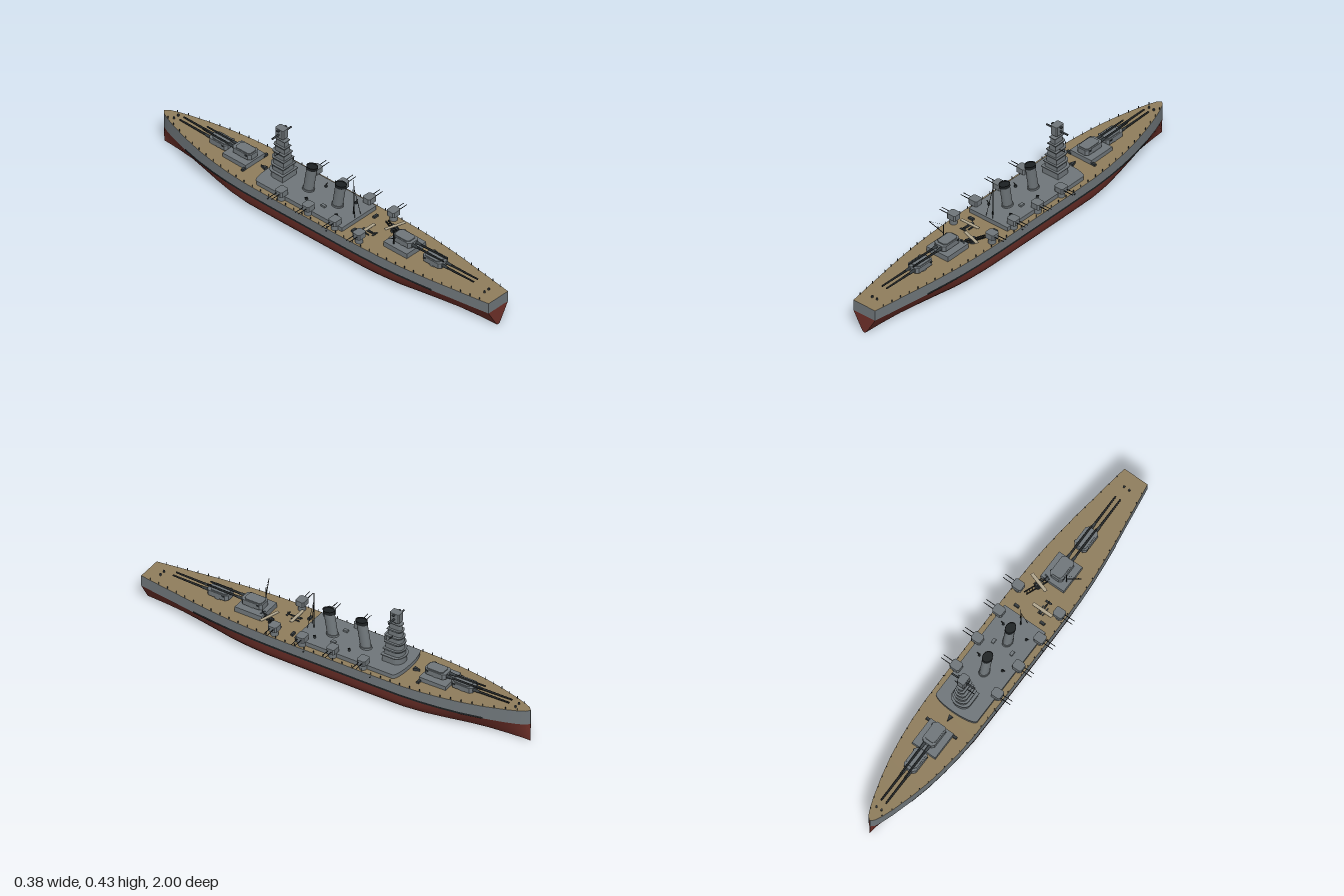
import * as THREE from 'three';
import { mergeGeometries, toCreasedNormals } from 'three/addons/utils/BufferGeometryUtils.js';

const mat = (color) => new THREE.MeshStandardMaterial({ color, side: THREE.DoubleSide });
const GREY = mat(0x6f767a), DARK = mat(0x1c2022), RED = mat(0x6e3029), WOOD = mat(0x8f7d5c), STEEL = mat(0x33393c), CANVAS = mat(0xb0a58c);

// Hull stations along z: [z, deck half-beam, fullness of the bottom]
const STATIONS = [[-1, 0.002, 0], [-0.985, 0.018, 0], [-0.95, 0.034, 0], [-0.9, 0.052, 0.05], [-0.8, 0.081, 0.2],
  [-0.7, 0.104, 0.45], [-0.6, 0.12, 0.7], [-0.5, 0.131, 0.9], [-0.4, 0.137, 1], [-0.2, 0.139, 1], [0, 0.139, 1],
  [0.2, 0.139, 1], [0.3, 0.138, 1], [0.4, 0.135, 0.95], [0.5, 0.129, 0.85], [0.6, 0.119, 0.65], [0.7, 0.107, 0.45],
  [0.8, 0.092, 0.25], [0.9, 0.078, 0.1], [1, 0.063, 0]];
const FULL = [[0, 0.002], [0.68, 0.01], [0.8, 0.018], [0.9, 0.034], [0.97, 0.06], [1, 0.092]];
const FINE = [[0, 0], [0.14, 0.003], [0.24, 0.012], [0.45, 0.034], [0.72, 0.062], [1, 0.092]];
const deckY = (z) => 0.146 + (z < -0.3 ? 0.02 * ((-0.3 - z) / 0.7) ** 1.5 : 0);
const lerp = THREE.MathUtils.lerp;
function beam(z) {
  const i = Math.max(1, STATIONS.findIndex((s) => s[0] >= z));
  const [a, b] = [STATIONS[i - 1], STATIONS[i]];
  return lerp(a[1], b[1], (z - a[0]) / (b[0] - a[0]));
}

// Surface through rows of points
function loft(rows) {
  const n = rows[0].length, index = [];
  for (let j = 0; j < rows.length - 1; j++) for (let i = 0; i < n - 1; i++) {
    const a = j * n + i, b = a + n;
    index.push(a, a + 1, b, a + 1, b + 1, b);
  }
  const g = new THREE.BufferGeometry();
  g.setAttribute('position', new THREE.Float32BufferAttribute(rows.flat(2), 3));
  g.setIndex(index);
  return toCreasedNormals(g, 0.5);
}

// Upright prism from a plan of [x, z] points
function prismGeo(plan, y0, y1) {
  const shape = new THREE.Shape(plan.map(([x, z]) => new THREE.Vector2(x, -z)));
  return new THREE.ExtrudeGeometry(shape, { depth: y1 - y0, bevelEnabled: false }).rotateX(-Math.PI / 2).translate(0, y0, 0);
}
const chamfered = (w, z0, z1, c) => [[-w + c, z0], [w - c, z0], [w, z0 + c], [w, z1 - c], [w - c, z1], [-w + c, z1], [-w, z1 - c], [-w, z0 + c]];
// Plan with a rounded forward end
function rounded(w, zFront, zBack, depth) {
  const p = [[-w, zBack], [w, zBack]];
  for (let i = 0; i <= 12; i++) {
    const a = (i / 12) * Math.PI;
    p.push([w * Math.cos(a), zFront + depth - depth * Math.sin(a)]);
  }
  return p;
}
const boxGeo = (w, h, d, x, y, z) => new THREE.BoxGeometry(w, h, d).translate(x, y, z);
function rodGeo(a, b, r0, r1 = r0, sides = 8) {
  const A = new THREE.Vector3(...a), B = new THREE.Vector3(...b), d = B.clone().sub(A);
  const q = new THREE.Quaternion().setFromUnitVectors(new THREE.Vector3(0, 1, 0), d.clone().normalize());
  return new THREE.CylinderGeometry(r1, r0, d.length(), sides).applyQuaternion(q).translate(...A.add(B).multiplyScalar(0.5).toArray());
}

export function createModel() {
  const ship = new THREE.Group();
  ship.name = 'battleship';
  const add = (name, geo, material = GREY, parent = ship) => {
    const list = [].concat(geo).map((g) => (g.index ? g.toNonIndexed() : g));
    const m = new THREE.Mesh(list.length > 1 ? mergeGeometries(list) : list[0], material);
    m.name = name;
    parent.add(m);
    return m;
  };
  const group = (name, parent = ship) => {
    const g = new THREE.Group();
    g.name = name;
    parent.add(g);
    return g;
  };

  // Hull: red bottom, grey sides, wooden deck, transom
  const half = ([z, b, f]) => FULL.map((p, i) => [b * lerp(FINE[i][0], p[0], f), lerp(FINE[i][1], p[1], f), z]);
  const bottomRows = STATIONS.map((s) => {
    const h = half(s);
    return [...h.slice(1).reverse().map(([x, y, z]) => [-x, y, z]), ...h];
  });
  add('lowerHull', loft(bottomRows), RED);
  const side = (s, lo, hi, grow, from = -1, to = 1) => loft(STATIONS.filter(([z]) => z >= from && z <= to).map(([z, b]) => {
    const row = [[s * (b + grow), lo, z], [s * (b + grow), hi ?? deckY(z), z]];
    return s > 0 ? row : row.reverse();
  }));
  add('hullSides', [side(1, 0.092, null, 0), side(-1, 0.092, null, 0)]);
  add('waterlineStripe', [side(1, 0.09, 0.1, 0.001, -0.8, 0.7), side(-1, 0.09, 0.1, 0.001, -0.8, 0.7)], DARK);
  add('deck', loft(STATIONS.map(([z, b]) => [[b, deckY(z), z], [-b, deckY(z), z]])), WOOD);
  const stern = STATIONS[STATIONS.length - 1], sternShape = new THREE.Shape(bottomRows[bottomRows.length - 1].map(([x, y]) => new THREE.Vector2(x, y)));
  add('lowerTransom', new THREE.ShapeGeometry(sternShape).translate(0, 0, 1), RED);
  add('upperTransom', new THREE.PlaneGeometry(2 * stern[1], 0.054).translate(0, 0.119, 1));

  // Deck edge posts and side booms
  const posts = [], fittings = [];
  for (let z = -0.95; z < 0.99; z += 0.05) for (const s of [-1, 1])
    posts.push(boxGeo(0.0025, 0.012, 0.0025, s * (beam(z) - 0.003), deckY(z) + 0.006, z));
  add('railPosts', posts, STEEL);
  for (const s of [-1, 1]) {
    for (const z of [-0.25, 0.1]) fittings.push(rodGeo([s * 0.137, 0.136, z], [s * 0.146, 0.136, z], 0.002));
    for (const z of [-0.93, 0.93]) fittings.push(rodGeo([s * 0.014, deckY(z), z], [s * 0.014, deckY(z) + 0.009, z], 0.005));
    for (const z of [-0.46, 0.2]) fittings.push(boxGeo(0.025, 0.01, 0.012, s * 0.07, deckY(z) + 0.005, z));
  }
  add('deckFittings', fittings, STEEL);
  add('breakwater', prismGeo([[0, -0.42], [0.01, -0.39], [-0.01, -0.39]], 0.146, 0.16), STEEL);

  // Main battery: a low and a raised twin turret at each end
  function mainTurret(name, z, dir, base, gunLength) {
    const t = group(name);
    t.position.set(0, base, z);
    t.rotation.y = dir < 0 ? Math.PI : 0;
    add('barbette', rodGeo([0, -0.01, 0], [0, 0.006, 0], 0.03, 0.03, 20), GREY, t);
    add('gunhouse', prismGeo(chamfered(0.033, -0.055, 0.055, 0.012), 0.005, 0.031), GREY, t);
    add('roof', prismGeo(chamfered(0.027, -0.048, 0.04, 0.01), 0.031, 0.036), GREY, t);
    add('rangefinder', boxGeo(0.074, 0.007, 0.01, 0, 0.027, -0.035), STEEL, t);
    for (const s of [-1, 1]) {
      add('gunSleeve', rodGeo([s * 0.013, 0.018, 0.05], [s * 0.013, 0.018, 0.085], 0.008, 0.006, 12), STEEL, t);
      add('gunBarrel', rodGeo([s * 0.013, 0.018, 0.08], [s * 0.013, 0.021, gunLength], 0.0055, 0.0038, 10), DARK, t);
    }
  }
  add('forwardTurretHouse', boxGeo(0.126, 0.028, 0.14, 0, 0.157, -0.525));
  add('aftTurretHouse', boxGeo(0.126, 0.028, 0.14, 0, 0.157, 0.44));
  mainTurret('forwardLowTurret', -0.655, -1, 0.153, 0.24);
  mainTurret('forwardRaisedTurret', -0.515, -1, 0.171, 0.24);
  mainTurret('aftLowTurret', 0.625, 1, 0.15, 0.24);
  mainTurret('aftRaisedTurret', 0.445, 1, 0.171, 0.24);

  // Deckhouse
  add('deckhouse', prismGeo(rounded(0.11, -0.37, 0.165, 0.025), 0.14, 0.168));
  add('deckhouseRoofEdge', prismGeo(rounded(0.112, -0.372, 0.167, 0.025), 0.166, 0.169));

  // Secondary twin mounts along both sides
  for (const s of [-1, 1]) for (const z of [-0.195, -0.035, 0.125, 0.27]) {
    const m = group('secondaryMount');
    m.position.set(s * 0.112, 0, z);
    m.rotation.y = s * Math.PI / 2;
    add('pedestal', rodGeo([0, 0.14, 0], [0, 0.175, 0], 0.018, 0.018, 14), GREY, m);
    add('shield', prismGeo(chamfered(0.022, -0.025, 0.025, 0.007), 0.173, 0.2), GREY, m);
    add('guns', [-1, 1].map((k) => rodGeo([k * 0.009, 0.188, 0.02], [k * 0.009, 0.189, 0.076], 0.002, 0.0015)), DARK, m);
  }

  // Bridge tower: stacked rounded tiers with overhanging platforms
  const tower = group('bridgeTower');
  const tiers = [[0.045, 0.168, 0.205], [0.036, 0.205, 0.236], [0.03, 0.236, 0.27], [0.025, 0.27, 0.302], [0.018, 0.302, 0.335], [0.013, 0.335, 0.368]];
  tiers.forEach(([w, y0, y1], i) => {
    const d = w * 0.55 + 0.022, flare = 0.005;
    add('tier', prismGeo(rounded(w, -0.297 - d, -0.297 + d, w * 0.8), y0, y1), GREY, tower);
    add('platform', prismGeo(rounded(w + flare, -0.297 - d - flare, -0.297 + d + flare, w * 0.8), y1 - 0.004, y1), GREY, tower);
    if (i > 0 && i < 5) add('windows', prismGeo(rounded(w + 0.0006, -0.2976 - d, -0.297 + d, w * 0.8), y1 - 0.012, y1 - 0.007), STEEL, tower);
  });
  add('signalYard', rodGeo([-0.053, 0.302, -0.29], [0.053, 0.302, -0.29], 0.0018), DARK, tower);
  add('directorColumn', rodGeo([0, 0.36, -0.297], [0, 0.382, -0.297], 0.01, 0.01, 14), STEEL, tower);
  add('director', prismGeo(chamfered(0.019, -0.322, -0.272, 0.005), 0.378, 0.425), GREY, tower);
  add('directorRangefinder', rodGeo([-0.062, 0.396, -0.297], [0.062, 0.396, -0.297], 0.0045, 0.0045, 10), STEEL, tower);
  add('upperSight', boxGeo(0.06, 0.004, 0.012, 0, 0.419, -0.297), STEEL, tower);

  // Two raked oval funnels with dark caps
  for (const [z, top] of [[-0.138, 0.307], [0.036, 0.296]]) {
    const f = group('funnel');
    const part = (name, r, y0, y1, material, open) => {
      const g = new THREE.CylinderGeometry(r, r, y1 - y0, 24, 1, open).scale(0.021, 1, 0.026).translate(0, (y0 + y1) / 2, 0);
      const p = g.attributes.position;
      for (let i = 0; i < p.count; i++) p.setZ(i, p.getZ(i) + z + (p.getY(i) - 0.165) * 0.17);
      g.computeVertexNormals();
      add(name, g, material, f);
    };
    part('casing', 1, 0.165, top - 0.012, GREY, false);
    part('cap', 1.08, top - 0.016, top, DARK, true);
    part('smokeOpening', 1.05, top - 0.008, top - 0.006, DARK, false);
    part('baseCollar', 1.15, 0.165, 0.178, GREY, false);
  }

  // Tripod mainmast
  add('mainmast', [rodGeo([0, 0.165, 0.135], [0, 0.355, 0.135], 0.003, 0.0015),
    ...[-1, 1].map((s) => rodGeo([s * 0.02, 0.166, 0.158], [0, 0.31, 0.136], 0.0012))], DARK);

  // Light guns, searchlights and lockers on the deckhouse
  for (const s of [-1, 1]) {
    for (const z of [-0.09, 0.09]) {
      add('lightGunBase', rodGeo([s * 0.063, 0.168, z], [s * 0.063, 0.178, z], 0.006), STEEL);
      add('lightGun', rodGeo([s * 0.06, 0.179, z], [s * 0.075, 0.187, z], 0.002), DARK);
    }
    add('locker', boxGeo(0.014, 0.01, 0.022, s * 0.05, 0.173, 0.0), GREY);
  }

  // Aircraft crane
  add('crane', [rodGeo([-0.045, 0.165, 0.415], [-0.045, 0.245, 0.415], 0.0028),
    rodGeo([-0.045, 0.2, 0.415], [-0.108, 0.248, 0.44], 0.0018), rodGeo([-0.045, 0.245, 0.415], [-0.108, 0.248, 0.44], 0.0005)], DARK);

  // Catapult and two floatplanes
  const catapult = group('catapult');
  catapult.position.set(0.048, 0, 0.328);
  catapult.rotation.y = 2.76;
  add('catapultBase', rodGeo([0, 0.145, 0], [0, 0.156, 0], 0.014, 0.014, 14), STEEL, catapult);
  add('catapultRails', [-1, 1].map((s) => boxGeo(0.004, 0.006, 0.13, s * 0.007, 0.159, 0)), DARK, catapult);
  for (let i = -4; i <= 4; i++) add('catapultTie', boxGeo(0.014, 0.003, 0.003, 0, 0.159, i * 0.014), DARK, catapult);
  function floatplane(x, y, z, turn) {
    const p = group('floatplane');
    p.position.set(x, y, z);
    p.rotation.y = turn;
    add('fuselage', rodGeo([0, 0.01, -0.028], [0, 0.01, 0.042], 0.006, 0.002, 10), STEEL, p);
    add('wing', boxGeo(0.104, 0.002, 0.016, 0, 0.016, -0.008), CANVAS, p);
    add('tail', [boxGeo(0.032, 0.0015, 0.009, 0, 0.011, 0.038), boxGeo(0.0015, 0.011, 0.009, 0, 0.015, 0.038)], STEEL, p);
    add('floats', [-1, 1].map((s) => boxGeo(0.005, 0.005, 0.042, s * 0.012, 0.002, -0.006)), STEEL, p);
    add('struts', [-1, 1].map((s) => rodGeo([s * 0.012, 0.003, -0.008], [s * 0.005, 0.016, -0.008], 0.001)), STEEL, p);
  }
  floatplane(-0.037, 0.147, 0.255, 0);
  floatplane(0.046, 0.163, 0.345, -0.3);
  return ship;
}
